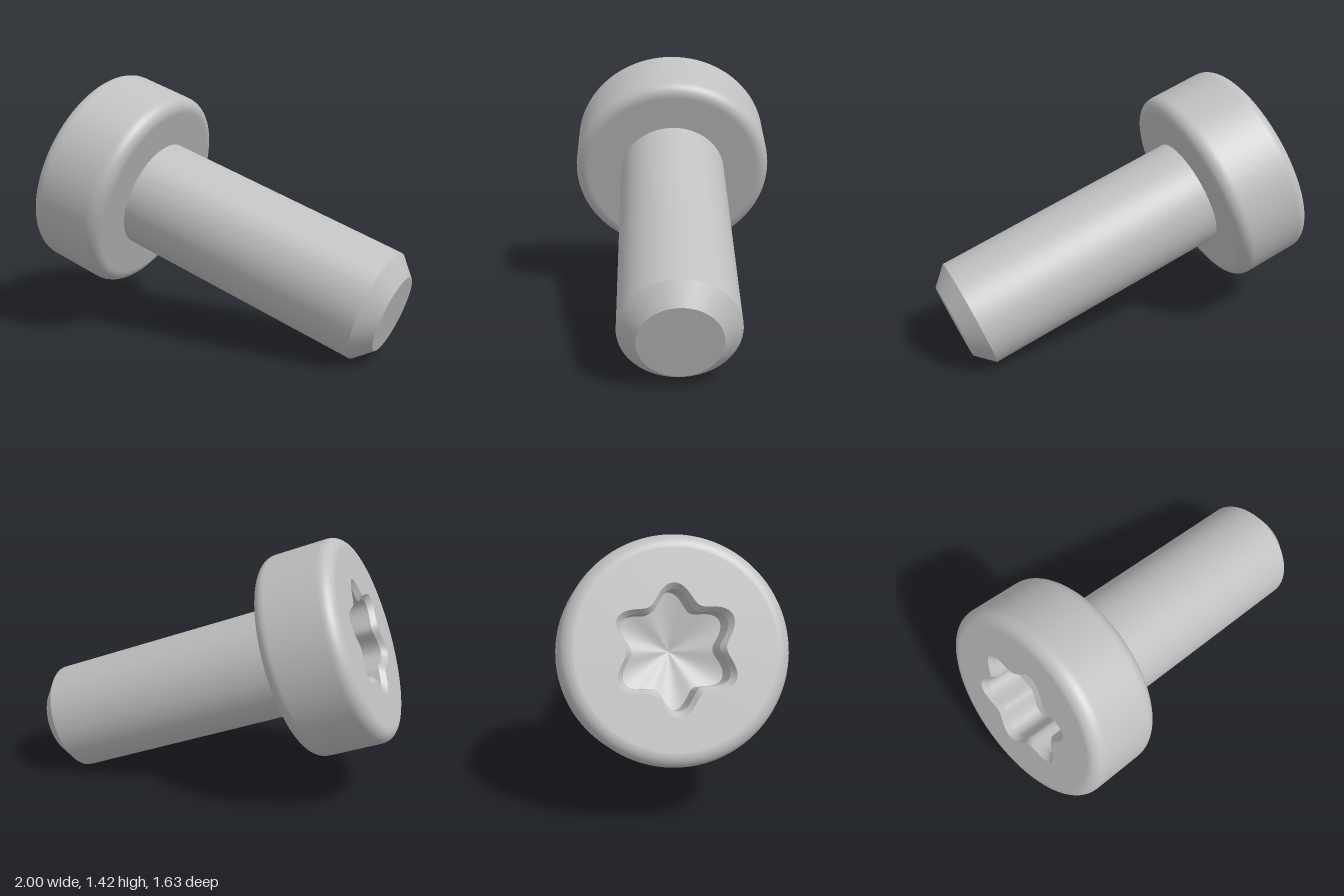
import * as THREE from 'three';

const SEG = 96;
const HEAD_R = 0.567, HEAD_H = 0.44, FILLET = 0.07;
const SHANK_R = 0.303, TIP_R = 0.21, LENGTH = 1.497, CHAMFER = 0.093;

// Six-lobed outline: radius swings between the lobe tips and the valleys
const lobes = (tip, valley) => (a) => (tip + valley) / 2 + ((tip - valley) / 2) * Math.cos(6 * a);
const circle = (r) => () => r;

// Strip between an outer loop and an inner (or lower) loop, facing up and inward
function strip(outer, yOuter, inner, yInner) {
  const n = SEG * 2, pos = [], index = [];
  for (const [radius, y] of [[outer, yOuter], [inner, yInner]]) {
    for (let k = 0; k < n; k++) {
      const a = (k / n) * Math.PI * 2, r = radius(a);
      pos.push(r * Math.sin(a), y, r * Math.cos(a));
    }
  }
  for (let k = 0; k < n; k++) {
    const m = (k + 1) % n;
    index.push(k, m, n + m, k, n + m, n + k);
  }
  const g = new THREE.BufferGeometry();
  g.setAttribute('position', new THREE.Float32BufferAttribute(pos, 3));
  g.setIndex(index);
  g.computeVertexNormals();
  return g;
}

const lathe = (points) =>
  new THREE.LatheGeometry(points.map(([r, y]) => new THREE.Vector2(r, y)), SEG);

// Head side: flat underside, rounded lower edge, wall, rounded upper edge
function headProfile() {
  const pts = [[SHANK_R - 0.01, 0], [HEAD_R - FILLET - 0.004, 0]];
  const arc = (cy, from) => {
    for (let i = 0; i <= 10; i++) {
      const a = from + (i / 10) * (Math.PI / 2);
      pts.push([HEAD_R - FILLET + FILLET * Math.cos(a), cy + FILLET * Math.sin(a)]);
    }
  };
  arc(FILLET, -Math.PI / 2);
  pts.push([HEAD_R, FILLET + 0.004], [HEAD_R, HEAD_H - FILLET - 0.004]);
  arc(HEAD_H - FILLET, 0);
  return pts;
}

export function createModel() {
  const model = new THREE.Group();
  model.name = 'screw';
  const steel = new THREE.MeshStandardMaterial({ color: 0xc0c0c0 });
  steel.name = 'steel grey';
  const add = (name, geometry) => {
    const mesh = new THREE.Mesh(geometry, steel);
    mesh.name = name;
    screw.add(mesh);
  };
  const screw = new THREE.Group();
  screw.name = 'tiltedScrew';
  model.add(screw);

  // Shank with a bevelled end
  add('shank', lathe([[SHANK_R, -LENGTH + CHAMFER], [SHANK_R, 0.01]]));
  add('tipBevel', lathe([[TIP_R, -LENGTH], [SHANK_R, -LENGTH + CHAMFER]]));
  add('tipFace', lathe([[0, -LENGTH], [TIP_R, -LENGTH]]));

  // Head and its top face around the recess
  const rim = lobes(0.325, 0.245), wall = lobes(0.296, 0.216);
  add('head', lathe(headProfile()));
  add('headTop', strip(circle(HEAD_R - FILLET), HEAD_H, rim, HEAD_H));

  // Six-lobed drive recess with a bevelled rim and a shallow conical floor
  const bevelY = HEAD_H - 0.03, floorY = HEAD_H - 0.22;
  add('recessRim', strip(rim, HEAD_H, wall, bevelY));
  add('recessWall', strip(wall, bevelY, wall, floorY));
  add('recessFloor', strip(wall, floorY, circle(0.0005), floorY - 0.06));

  // Lay the screw along its slanting axis, a lobe pointing upward
  const axisY = new THREE.Vector3(-0.81, 0.336, -0.4816).normalize();
  const axisZ = new THREE.Vector3(0, 1, 0).addScaledVector(axisY, -axisY.y).normalize();
  const axisX = new THREE.Vector3().crossVectors(axisY, axisZ);
  screw.quaternion.setFromRotationMatrix(new THREE.Matrix4().makeBasis(axisX, axisY, axisZ));
  screw.position.set(-0.337, 0.76, -0.124);
  return model;
}
